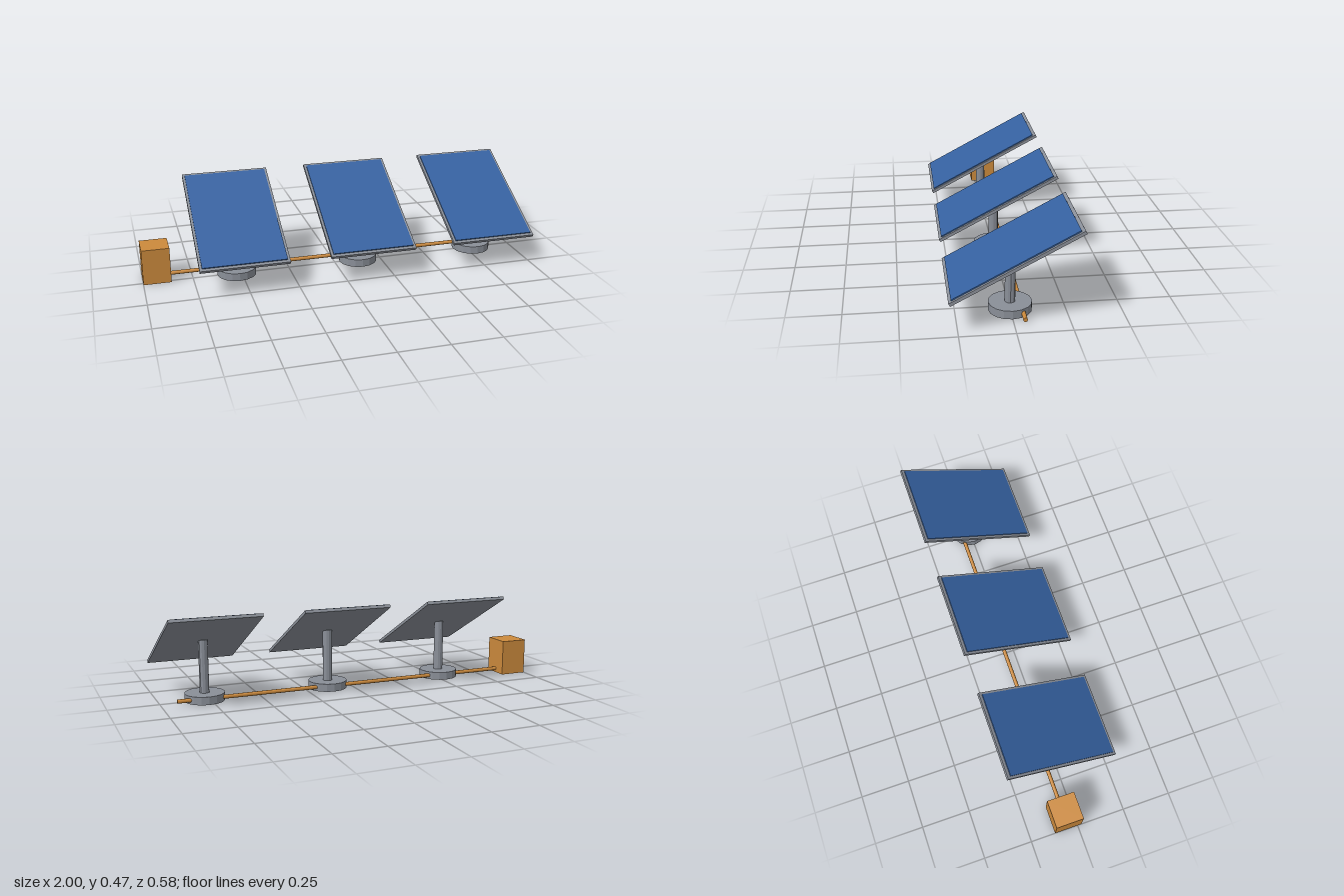
import * as THREE from 'three';

export function createModel() {
  const model = new THREE.Group();
  model.name = 'solarArray';

  const material = (name, color) => {
    const m = new THREE.MeshStandardMaterial({ color });
    m.name = name;
    return m;
  };
  const grey = material('metalGrey', 0x8a8f98);
  grey.flatShading = true;
  const blue = material('cellBlue', 0x3561a0);
  const orange = material('boxOrange', 0xcc8a3c);

  const add = (parent, name, geometry, mat, x, y, z) => {
    const mesh = new THREE.Mesh(geometry, mat);
    mesh.name = name;
    mesh.position.set(x, y, z);
    parent.add(mesh);
    return mesh;
  };

  const baseGeo = new THREE.CylinderGeometry(0.1, 0.1, 0.04, 16);
  const poleGeo = new THREE.CylinderGeometry(0.024, 0.024, 0.265, 12);
  const frameGeo = new THREE.BoxGeometry(0.445, 0.015, 0.65);
  const cellGeo = new THREE.BoxGeometry(0.42, 0.009, 0.62);

  // Three identical tilted panels on pedestals
  for (let i = 0; i < 3; i++) {
    const unit = new THREE.Group();
    unit.name = 'panelUnit' + (i + 1);
    unit.position.x = -0.524 + i * 0.651;
    add(unit, 'base', baseGeo, grey, 0, 0.02, 0);
    add(unit, 'pole', poleGeo, grey, 0, 0.1725, 0);

    const panel = new THREE.Group();
    panel.name = 'panel';
    panel.position.y = 0.306;
    panel.rotation.x = THREE.MathUtils.degToRad(28);
    add(panel, 'frame', frameGeo, grey, 0, 0, 0);
    add(panel, 'solarCells', cellGeo, blue, 0, 0.0085, 0);
    unit.add(panel);
    model.add(unit);
  }

  // Cable conduit running into the control box
  const conduit = add(model, 'conduit', new THREE.CylinderGeometry(0.01, 0.01, 1.85, 10), orange, 0, 0.02, -0.05);
  conduit.rotation.z = Math.PI / 2;
  add(model, 'controlBox', new THREE.BoxGeometry(0.14, 0.185, 0.142), orange, -0.93, 0.0925, -0.051);

  return model;
}
